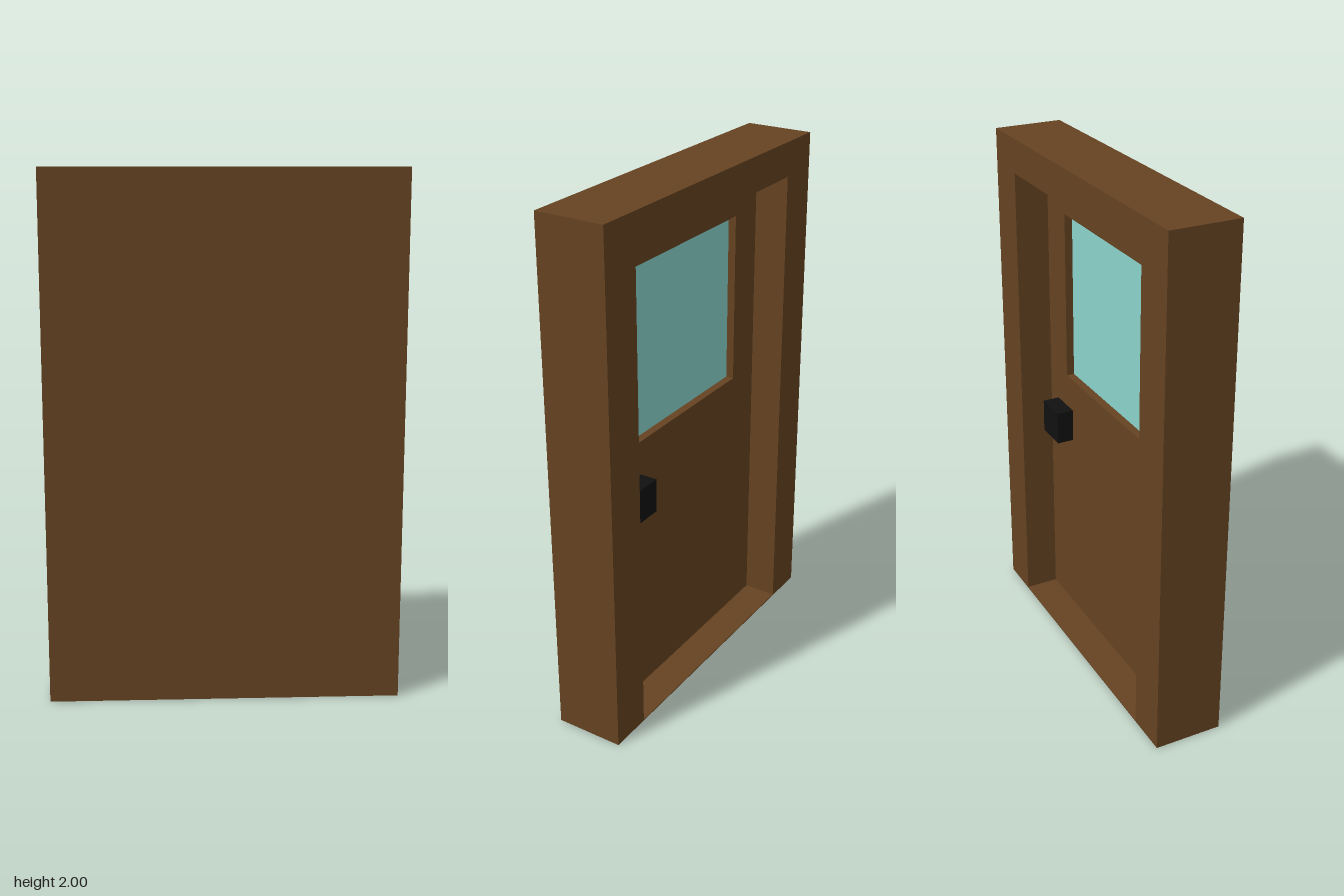
import * as THREE from 'three';

const W = 0.667, D = 0.133;          // half width and half depth of the block
const OPEN_X = 0.5, OPEN_TOP = 1.867; // door opening
const PANE = { x: 0.35, y0: 1.067, y1: 1.733, inset: 0.033 };

const wood = new THREE.MeshStandardMaterial({ color: 0x654321 });
wood.name = 'darkWood';
const glass = new THREE.MeshStandardMaterial({ color: 0x8bd4cc });
glass.name = 'paleTealGlass';
const black = new THREE.MeshStandardMaterial({ color: 0x111111 });
black.name = 'blackMetal';

const outline = (points) => points.map(([x, y]) => new THREE.Vector2(x, y));
const rect = (x, y0, y1) => outline([[-x, y0], [x, y0], [x, y1], [-x, y1]]);

export function createModel() {
  const door = new THREE.Group();
  door.name = 'door';

  const add = (name, geometry, material, x = 0, y = 0, z = 0) => {
    const mesh = new THREE.Mesh(geometry, material);
    mesh.name = name;
    mesh.position.set(x, y, z);
    door.add(mesh);
  };
  const box = (name, material, [x0, x1], [y0, y1], [z0, z1]) =>
    add(name, new THREE.BoxGeometry(x1 - x0, y1 - y0, z1 - z0), material,
      (x0 + x1) / 2, (y0 + y1) / 2, (z0 + z1) / 2);
  const extrude = (shape, depth) =>
    new THREE.ExtrudeGeometry(shape, { depth, bevelEnabled: false });

  // Surround: two jambs and a lintel, open at the bottom
  const surround = new THREE.Shape(outline([
    [-W, 0], [-OPEN_X, 0], [-OPEN_X, OPEN_TOP], [OPEN_X, OPEN_TOP],
    [OPEN_X, 0], [W, 0], [W, 2], [-W, 2],
  ]));
  add('doorFrame', extrude(surround, D), wood, 0, 0, -D);

  // Thin threshold closing the bottom of the recess
  box('threshold', wood, [-OPEN_X, OPEN_X], [0, 0.004], [-D, 0]);

  // Door leaf with a pocket for the window
  const leaf = new THREE.Shape(rect(W, 0, 2));
  leaf.holes.push(new THREE.Path(rect(PANE.x, PANE.y0, PANE.y1)));
  add('doorLeaf', extrude(leaf, PANE.inset), wood);

  // Solid wall behind the leaf, plain on the front
  box('frontWall', wood, [-W, W], [0, 2], [PANE.inset, D]);

  // Window pane set into the pocket
  box('windowPane', glass, [-PANE.x, PANE.x], [PANE.y0, PANE.y1],
    [PANE.inset - 0.002, PANE.inset + 0.002]);

  // Square handle
  box('handle', black, [0.3, 0.433], [0.8, 0.933], [-0.067, 0]);

  return door;
}
